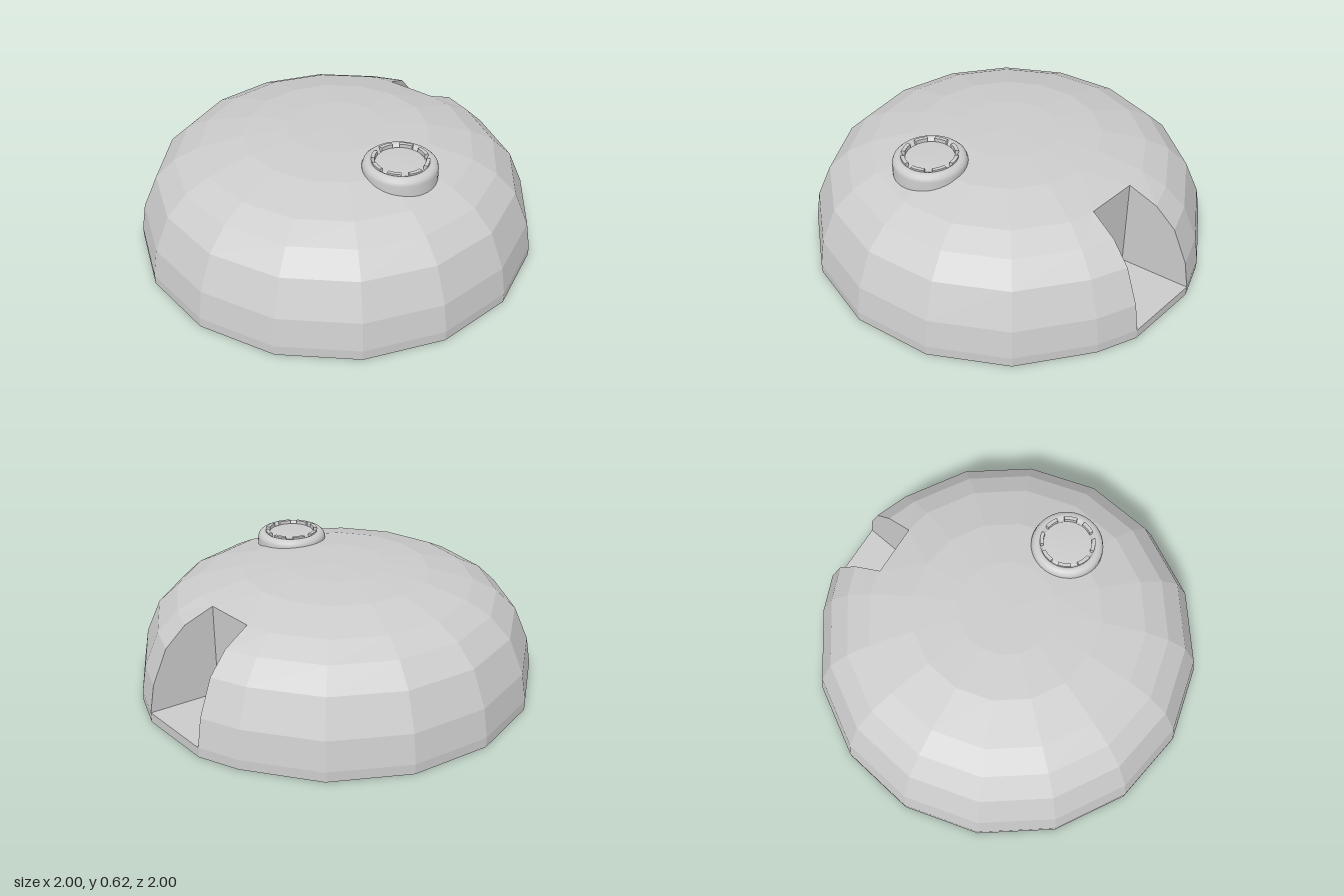
import * as THREE from 'three';

const grey = new THREE.MeshStandardMaterial({ color: 0xcccccc, flatShading: true, side: THREE.DoubleSide });
const smooth = new THREE.MeshStandardMaterial({ color: 0xcccccc, side: THREE.DoubleSide });

// Dome profile as [radius, height]; rings 1 to 5 border the notch
const PROFILE = [[1, 0], [1, 0.05], [0.975, 0.19], [0.9, 0.36], [0.8, 0.455],
  [0.68, 0.515], [0.46, 0.57], [0.24, 0.588]];
const SIDES = 16, FLOOR = 1, LINTEL = 5, INNER_X = 0.655;

// Triangles and quads collected from corner points into one geometry
function faceBuilder() {
  const pos = [];
  const tri = (a, b, c) => pos.push(...a, ...b, ...c);
  const quad = (a, b, c, d) => { tri(a, b, c); tri(a, c, d); };
  const mesh = (name) => {
    const g = new THREE.BufferGeometry();
    g.setAttribute('position', new THREE.Float32BufferAttribute(pos, 3));
    g.computeVertexNormals();
    const m = new THREE.Mesh(g, grey);
    m.name = name;
    return m;
  };
  return { tri, quad, mesh };
}

// Edge of the notch at a ring: the side walls splay outwards
function notchCorner(ring, side) {
  const [r, y] = PROFILE[ring];
  if (ring > LINTEL) return [r, y, 0];
  const x = ring === LINTEL ? INNER_X : r - 0.003;
  return [x, y, side * (0.13 + (x - 0.65) * 0.18)];
}

// One ring: notch corner, the regular corners, opposite notch corner
function makeRing(i) {
  const [r, y] = PROFILE[i];
  const ring = [notchCorner(i, 1)];
  for (let k = 1; k < SIDES; k++) {
    const a = (k / SIDES) * Math.PI * 2;
    ring.push([r * Math.cos(a), y, r * Math.sin(a)]);
  }
  ring.push(notchCorner(i, -1));
  return ring;
}

function makeDome(rings) {
  const f = faceBuilder(), n = rings[0].length;
  for (let i = 0; i < rings.length - 1; i++) {
    for (let k = 0; k < n; k++) {
      if (k === n - 1 && i >= FLOOR && i < LINTEL) continue; // notch opening
      const j = (k + 1) % n;
      f.quad(rings[i][j], rings[i][k], rings[i + 1][k], rings[i + 1][j]);
    }
  }
  const top = rings[rings.length - 1];
  for (let k = 0; k < n; k++) {
    const j = (k + 1) % n;
    f.tri([0, 0, 0], rings[0][k], rings[0][j]);
    f.tri([0, 0.59, 0], top[j], top[k]);
  }
  return f.mesh('dome');
}

function makeNotch() {
  const f = faceBuilder();
  const y = PROFILE[FLOOR][1];
  const left = notchCorner(LINTEL, 1), right = notchCorner(LINTEL, -1);
  const lowLeft = [left[0], y, left[2]], lowRight = [right[0], y, right[2]];
  // floor and back wall
  f.quad(notchCorner(FLOOR, 1), notchCorner(FLOOR, -1), lowRight, lowLeft);
  f.quad(lowLeft, lowRight, right, left);
  // side walls
  for (let i = FLOOR; i < LINTEL; i++) {
    f.tri(lowLeft, notchCorner(i + 1, 1), notchCorner(i, 1));
    f.tri(lowRight, notchCorner(i, -1), notchCorner(i + 1, -1));
  }
  return f.mesh('notch');
}

function makeCap() {
  const cap = new THREE.Group();
  cap.name = 'cap';
  // rounded collar with a groove around the central disc
  const profile = [[0.178, 0.5], [0.178, 0.585], [0.172, 0.602], [0.16, 0.613], [0.145, 0.617],
    [0.135, 0.615], [0.13, 0.6], [0.12, 0.6], [0.115, 0.608], [0, 0.608]];
  const collar = new THREE.Mesh(
    new THREE.LatheGeometry(profile.map(([r, y]) => new THREE.Vector2(r, y)), 40), smooth);
  collar.name = 'collar';
  cap.add(collar);
  // ring of small curved lugs
  const COUNT = 8, span = 0.5;
  const shape = new THREE.Shape();
  shape.absarc(0, 0, 0.136, -span / 2, span / 2, false);
  shape.absarc(0, 0, 0.118, span / 2, -span / 2, true);
  const lugGeo = new THREE.ExtrudeGeometry(shape, { depth: 0.03, bevelEnabled: false, curveSegments: 5 });
  lugGeo.rotateX(-Math.PI / 2);
  for (let k = 0; k < COUNT; k++) {
    const lug = new THREE.Mesh(lugGeo, grey);
    lug.name = 'lug';
    lug.position.y = 0.594;
    lug.rotation.y = ((k + 0.5) / COUNT) * Math.PI * 2;
    cap.add(lug);
  }
  cap.position.set(-0.083, 0, 0.44);
  return cap;
}

export function createModel() {
  const model = new THREE.Group();
  model.name = 'domedShell';
  model.add(makeDome(PROFILE.map((_, i) => makeRing(i))), makeNotch(), makeCap());
  return model;
}
